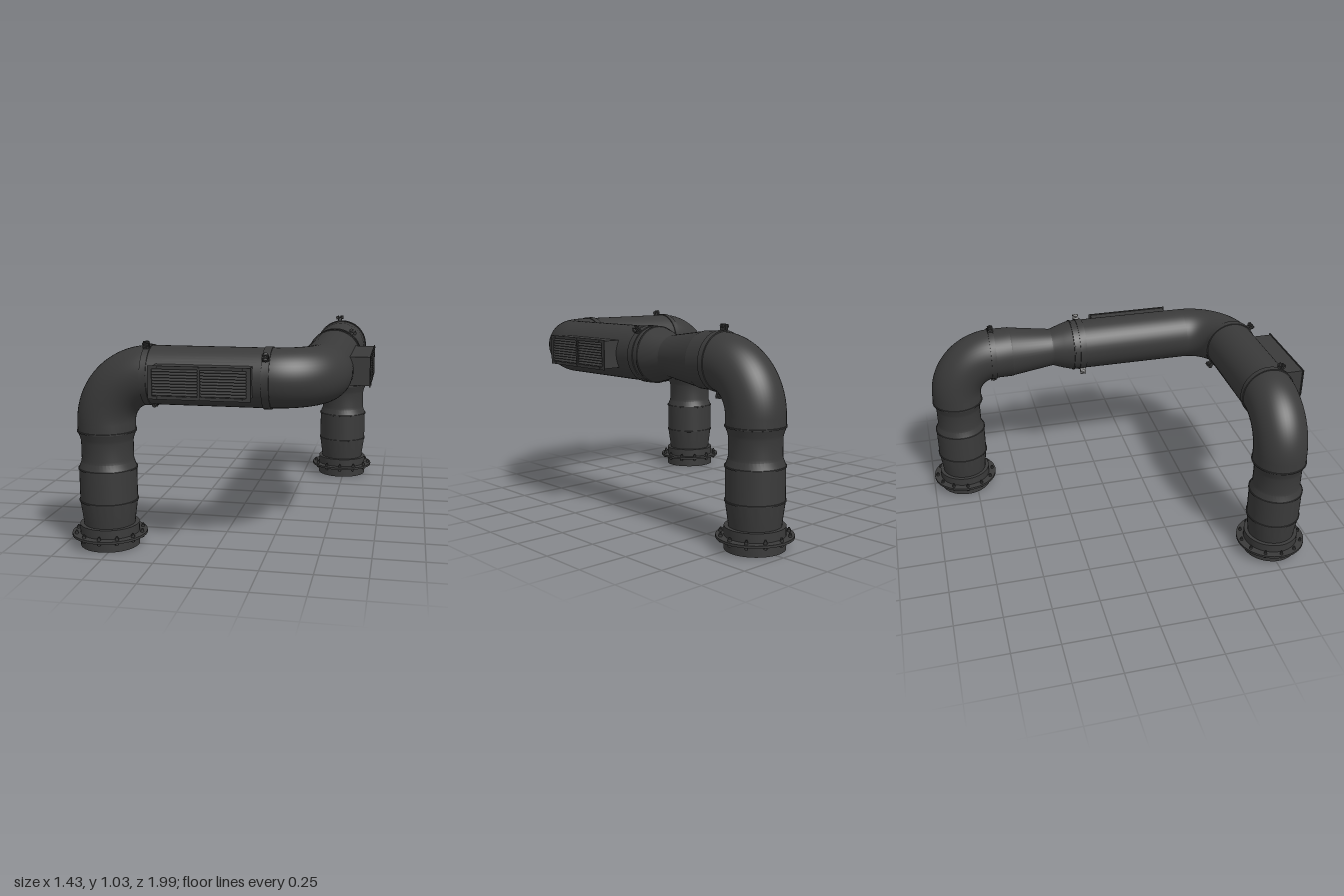
import * as THREE from 'three';
import { toCreasedNormals } from 'three/addons/utils/BufferGeometryUtils.js';

const R = 0.14, BEND = 0.23, AXIS_Y = 0.85;
const RUN_Z = 0.765, RUN_X = 0.485, LEG_X = -0.535, LEG_Z = -0.81;

const metal = new THREE.MeshStandardMaterial({ color: 0x3a3a3a, side: THREE.DoubleSide });

function add(parent, name, geometry, x = 0, y = 0, z = 0) {
  const mesh = new THREE.Mesh(geometry, metal);
  mesh.name = name;
  mesh.position.set(x, y, z);
  parent.add(mesh);
  return mesh;
}

function lathe(points, segments = 48) {
  const profile = points.map(([r, y]) => new THREE.Vector2(r, y));
  return toCreasedNormals(new THREE.LatheGeometry(profile, segments), 0.25);
}

// A thin raised seam around a vertical or turned pipe
function seam(y, r = R) {
  return [[r, y - 0.004], [r + 0.004, y - 0.003], [r + 0.004, y + 0.003], [r, y + 0.004]];
}

// Upright duct with a necked coupling and a bolted foot flange
function createLeg(x, z) {
  const leg = new THREE.Group();
  leg.name = 'leg';
  leg.position.set(x, 0, z);
  add(leg, 'legDuct', lathe([
    [0.123, 0.09], [0.127, 0.13], ...seam(0.23), ...seam(0.39),
    [0.128, 0.425], [0.126, 0.44], [0.126, 0.525], [0.129, 0.54],
    ...seam(0.575), [R, 0.62],
  ]));
  add(leg, 'footCollar', lathe([
    [0, 0.015], [0.115, 0.015], [0.115, 0], [0.145, 0], [0.145, 0.054],
    [0.184, 0.054], [0.184, 0.066], [0.145, 0.066], [0.145, 0.11], [0.12, 0.11],
  ]));
  const shank = new THREE.CylinderGeometry(0.005, 0.005, 0.046, 8);
  const nut = new THREE.CylinderGeometry(0.009, 0.009, 0.012, 6);
  for (let i = 0; i < 12; i++) {
    const a = (i / 12) * Math.PI * 2;
    const bx = 0.165 * Math.cos(a), bz = 0.165 * Math.sin(a);
    add(leg, 'flangeBolt', shank, bx, 0.062, bz);
    add(leg, 'flangeNut', nut, bx, 0.072, bz);
    add(leg, 'flangeBoltHead', nut, bx, 0.048, bz);
  }
  return leg;
}

// Band clamp around local z with a pair of bolted lugs on opposite sides
function createClamp(width) {
  const clamp = new THREE.Group();
  clamp.name = 'bandClamp';
  const h = width / 2;
  const band = lathe([[R - 0.004, -h], [R + 0.005, -h], [R + 0.005, h], [R - 0.004, h]]);
  add(clamp, 'clampBand', band.rotateX(Math.PI / 2));
  const lug = new THREE.BoxGeometry(0.006, 0.034, 0.03);
  const bolt = new THREE.CylinderGeometry(0.005, 0.005, 0.044, 8).rotateZ(Math.PI / 2);
  const head = new THREE.CylinderGeometry(0.011, 0.011, 0.008, 6).rotateZ(Math.PI / 2);
  for (const s of [1, -1]) {
    for (const t of [1, -1]) {
      add(clamp, 'clampLug', lug, t * 0.008, s * (R + 0.018), 0);
      add(clamp, 'clampBoltHead', head, t * 0.016, s * (R + 0.024), 0);
    }
    add(clamp, 'clampBolt', bolt, 0, s * (R + 0.024), 0);
  }
  return clamp;
}

function rectangle(Type, w, h, cx = 0) {
  const p = [[-1, -1], [1, -1], [1, 1], [-1, 1]];
  return new Type(p.map(([x, y]) => new THREE.Vector2(cx + x * w / 2, y * h / 2)));
}

// Louvred vent box facing local +z, measured from the duct axis
function createVent() {
  const vent = new THREE.Group();
  vent.name = 'ventBox';
  const W = 0.45, H = 0.14;
  const shell = rectangle(THREE.Shape, W, H);
  shell.holes.push(rectangle(THREE.Path, W - 0.012, H - 0.012));
  add(vent, 'ventShell', new THREE.ExtrudeGeometry(shell, { depth: 0.115, bevelEnabled: false }), 0, 0, 0.105);
  add(vent, 'ventBack', new THREE.BoxGeometry(W, H, 0.006), 0, 0, 0.175);

  // Face frame with two openings
  const frame = rectangle(THREE.Shape, 0.47, 0.152);
  for (const s of [-1, 1]) frame.holes.push(rectangle(THREE.Path, 0.21, 0.122, s * 0.1105));
  add(vent, 'ventFrame', new THREE.ExtrudeGeometry(frame, { depth: 0.005, bevelEnabled: false }), 0, 0, 0.218);

  const slat = new THREE.BoxGeometry(0.214, 0.003, 0.018).rotateX(0.6);
  for (const s of [-1, 1]) {
    for (let i = 0; i < 9; i++) add(vent, 'ventSlat', slat, s * 0.1105, (i - 4) * 0.0135, 0.211);
  }
  const screw = new THREE.CylinderGeometry(0.004, 0.004, 0.004, 8).rotateX(Math.PI / 2);
  for (const x of [-0.195, 0, 0.195]) {
    for (const y of [-0.069, 0.069]) add(vent, 'ventScrew', screw, x, y, 0.224);
  }
  return vent;
}

export function createModel() {
  const model = new THREE.Group();
  model.name = 'ductwork';
  model.add(createLeg(LEG_X, RUN_Z), createLeg(RUN_X, LEG_Z));

  // Quarter-turn elbows
  const elbow = new THREE.TorusGeometry(BEND, R, 48, 28, Math.PI / 2);
  const low = AXIS_Y - BEND;
  const startX = LEG_X + BEND, endX = RUN_X - BEND;
  const startZ = RUN_Z - BEND, endZ = LEG_Z + BEND;
  add(model, 'frontLegElbow', elbow, startX, low, RUN_Z).rotation.z = Math.PI / 2;
  add(model, 'cornerElbow', elbow, endX, AXIS_Y, startZ).rotation.x = Math.PI / 2;
  add(model, 'rearLegElbow', elbow, RUN_X, low, endZ).rotation.y = Math.PI / 2;

  // Straight front run
  const front = lathe([[R, startX], [R, endX]]);
  add(model, 'frontRun', front, 0, AXIS_Y, RUN_Z).rotation.z = -Math.PI / 2;

  // Side run with a narrowed throat, profile measured towards the back
  const side = lathe([
    [R, -startZ], ...seam(0.13), [0.126, 0.185], [0.107, 0.24], [0.105, 0.25],
    [0.107, 0.265], [0.136, 0.475], [0.139, 0.485], [R, -endZ],
  ]);
  add(model, 'sideRun', side, RUN_X, AXIS_Y, 0).rotation.x = -Math.PI / 2;

  // Clamps: position, turn about y, tilt of the lugs
  const deg = Math.PI / 180;
  for (const [x, z, turn, tilt, width] of [
    [-0.31, RUN_Z, 90, 23, 0.03], [0.257, RUN_Z, 90, 47, 0.036],
    [RUN_X, -0.08, 0, -37, 0.036], [RUN_X, -0.59, 0, 5, 0.03],
  ]) {
    const clamp = createClamp(width);
    clamp.position.set(x, AXIS_Y, z);
    clamp.rotation.set(0, turn * deg, tilt * deg);
    model.add(clamp);
  }

  // Vents on the front and the left side
  const frontVent = createVent();
  frontVent.position.set(-0.025, AXIS_Y, RUN_Z);
  const sideVent = createVent();
  sideVent.position.set(RUN_X, AXIS_Y, 0.26);
  sideVent.rotation.y = Math.PI / 2;
  model.add(frontVent, sideVent);
  return model;
}
